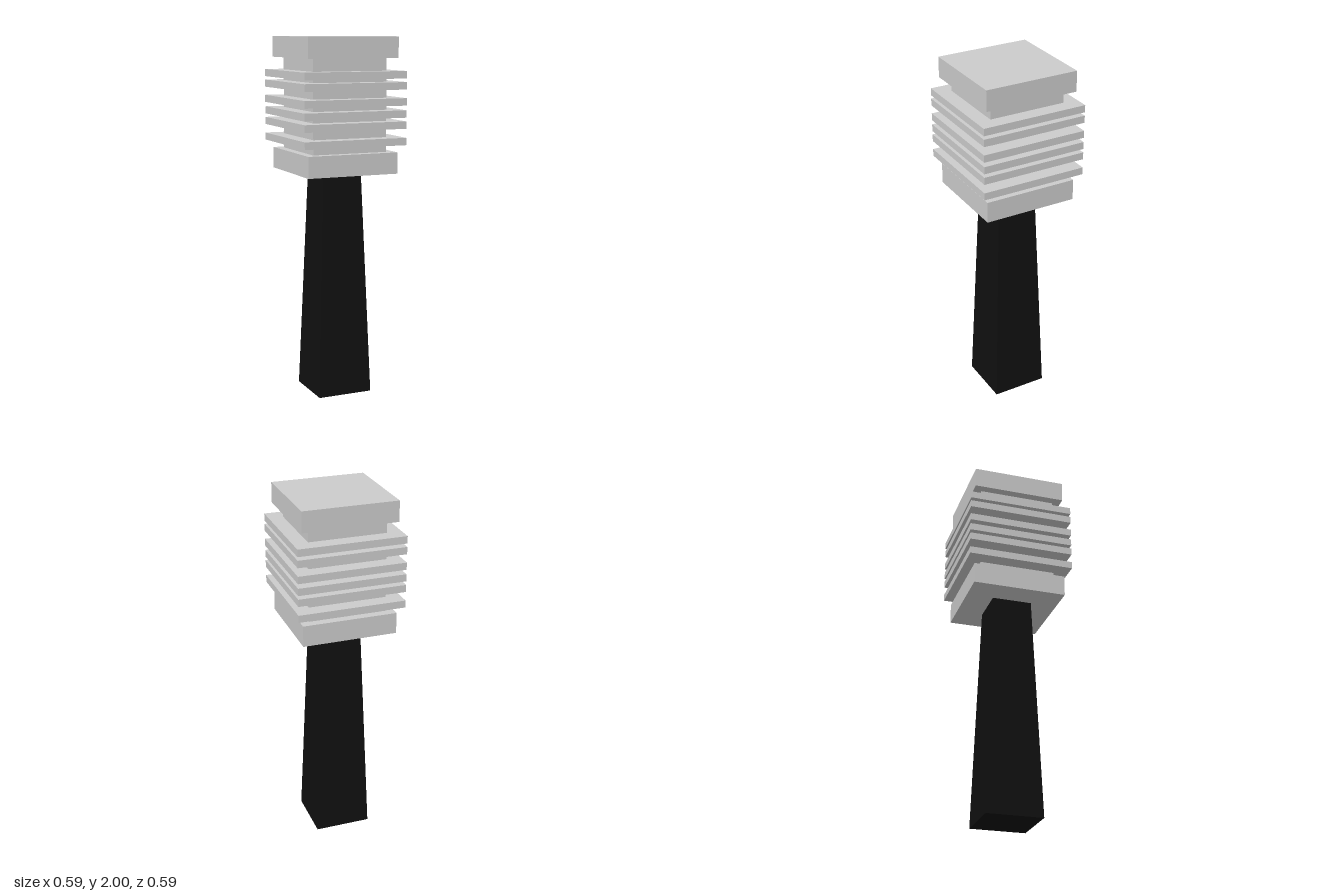
import * as THREE from 'three';

export function createModel() {
  const model = new THREE.Group();
  const grey = new THREE.MeshStandardMaterial({ color: 0xcccccc });
  const black = new THREE.MeshStandardMaterial({ color: 0x101010, flatShading: true });

  // Square block spanning y0..y1
  const block = (name, width, y0, y1) => {
    const mesh = new THREE.Mesh(new THREE.BoxGeometry(width, y1 - y0, width), grey);
    mesh.position.y = (y0 + y1) / 2;
    mesh.name = name;
    model.add(mesh);
  };

  // Tapered square handle: a four-sided cylinder turned to face the front
  const handleTop = 1.26;
  const handleGeo = new THREE.CylinderGeometry(
    0.112 * Math.SQRT2, 0.157 * Math.SQRT2, handleTop, 4);
  handleGeo.rotateY(Math.PI / 4);
  const handle = new THREE.Mesh(handleGeo, black);
  handle.position.y = handleTop / 2;
  handle.name = 'handle';
  model.add(handle);

  // Head: core between two end caps
  block('lowerCap', 0.525, handleTop, 1.377);
  block('core', 0.43, 1.377, 1.886);
  block('upperCap', 0.525, 1.886, 2);

  // Unevenly spaced plates around the core
  const plateThickness = 0.04;
  [1.438, 1.527, 1.587, 1.652, 1.738, 1.797].forEach((y, i) =>
    block(`plate${i + 1}`, 0.594, y - plateThickness / 2, y + plateThickness / 2));

  return model;
}
